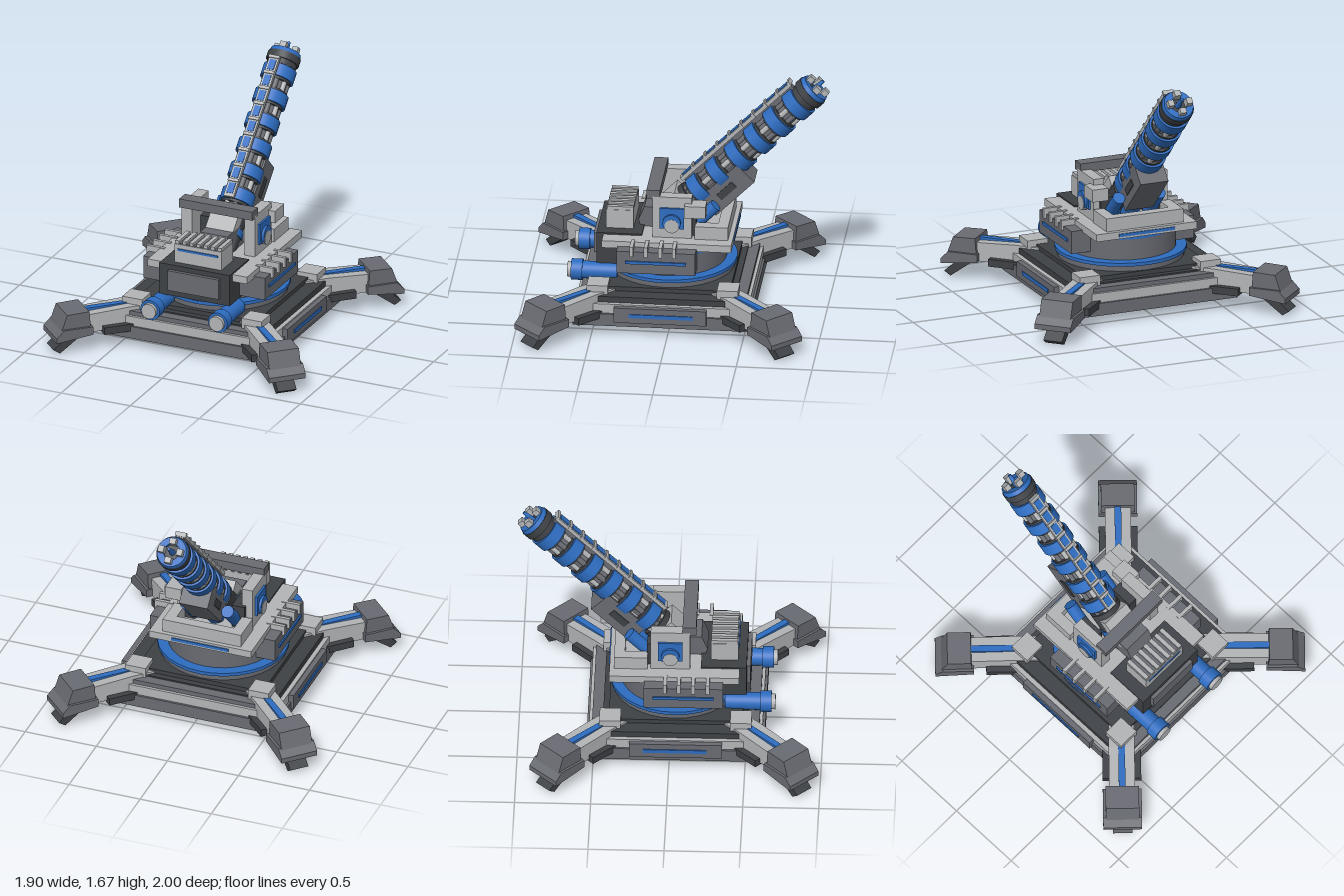
import * as THREE from 'three';

const mat = (color) => new THREE.MeshStandardMaterial({ color, flatShading: false });
const LIGHT = mat(0xb2b4b6), MID = mat(0x696b72), DARK = mat(0x3e4145), BLUE = mat(0x2d6cc0);

function add(parent, name, geometry, material) {
  const mesh = new THREE.Mesh(geometry, material);
  mesh.name = name;
  parent.add(mesh);
  return mesh;
}

// Box from its limits on each axis
function box(parent, name, material, [x0, x1], [y0, y1], [z0, z1]) {
  const mesh = add(parent, name, new THREE.BoxGeometry(x1 - x0, y1 - y0, z1 - z0), material);
  mesh.position.set((x0 + x1) / 2, (y0 + y1) / 2, (z0 + z1) / 2);
  return mesh;
}

// Upright cylinder between two heights
function drum(parent, name, material, r, y0, y1, x = 0, z = 0, rTop = r) {
  const mesh = add(parent, name, new THREE.CylinderGeometry(rTop, r, y1 - y0, 32), material);
  mesh.position.set(x, (y0 + y1) / 2, z);
  return mesh;
}

// Side profile in x and y, extruded symmetrically across z
function slab(parent, name, material, points, width) {
  const shape = new THREE.Shape(points.map(([x, y]) => new THREE.Vector2(x, y)));
  const geo = new THREE.ExtrudeGeometry(shape, { depth: width, bevelEnabled: false });
  return add(parent, name, geo.translate(0, 0, -width / 2), material);
}

function buildBase() {
  const base = new THREE.Group();
  base.name = 'base';
  base.position.z = 0.04;
  box(base, 'bottomPlate', MID, [-0.585, 0.585], [0.065, 0.15], [-0.585, 0.585]);
  box(base, 'underside', DARK, [-0.56, 0.56], [0.06, 0.07], [-0.56, 0.56]);
  box(base, 'baseFrame', LIGHT, [-0.57, 0.57], [0.14, 0.215], [-0.57, 0.57]);
  box(base, 'upperFrame', MID, [-0.5, 0.5], [0.2, 0.245], [-0.55, 0.55]);
  box(base, 'topPlate', DARK, [-0.54, 0.54], [0.21, 0.255], [-0.48, 0.48]);
  box(base, 'turretPad', DARK, [-0.44, 0.44], [0.25, 0.285], [-0.44, 0.44]);
  for (const s of [-1, 1]) {
    const x = (a, b) => (s > 0 ? [a, b] : [-b, -a]);
    box(base, 'sidePanel', MID, x(0.52, 0.605), [0.1, 0.205], [-0.3, 0.31]);
    box(base, 'sideStrip', BLUE, x(0.6, 0.612), [0.14, 0.165], [-0.21, 0.21]);
    for (const t of [-1, 1]) {
      const z = t > 0 ? [0.36, 0.5] : [-0.5, -0.36];
      box(base, 'cornerPad', LIGHT, x(0.36, 0.505), [0.24, 0.315], z);
    }
  }
  // Four diagonal outriggers, each built pointing along +x
  for (let i = 0; i < 4; i++) {
    const leg = new THREE.Group();
    leg.name = 'outrigger';
    leg.rotation.y = Math.PI / 4 + i * Math.PI / 2;
    base.add(leg);
    box(leg, 'legBracket', DARK, [0.64, 0.88], [0.115, 0.165], [-0.127, 0.127]);
    slab(leg, 'legBeam', LIGHT, [[0.5, 0.15], [0.72, 0.13], [1.02, 0.13], [1.02, 0.255], [0.7, 0.27], [0.5, 0.27]], 0.17);
    box(leg, 'legStrip', BLUE, [0.62, 0.98], [0.25, 0.277], [-0.022, 0.022]);
    slab(leg, 'footHousing', MID, [[0.97, 0.16], [1.18, 0.16], [1.135, 0.285], [0.98, 0.29]], 0.22);
    slab(leg, 'footPlate', MID, [[0.96, 0.13], [1.215, 0.1], [1.215, 0.135], [1.165, 0.185], [0.96, 0.185]], 0.255);
    slab(leg, 'groundSpade', DARK, [[0.97, 0.15], [1.02, 0.11], [1.17, 0], [1.215, 0.03], [1.09, 0.14]], 0.13);
  }
  return base;
}

function buildTurret() {
  const turret = new THREE.Group();
  turret.name = 'turret';
  drum(turret, 'ringSeat', MID, 0.42, 0.28, 0.325, 0, 0.03);
  drum(turret, 'ringStrip', BLUE, 0.435, 0.322, 0.345, 0, 0.03);
  drum(turret, 'turntable', MID, 0.365, 0.34, 0.53, 0, 0.03);
  drum(turret, 'upperRing', BLUE, 0.37, 0.487, 0.505, 0, 0.03);
  box(turret, 'deck', LIGHT, [-0.36, 0.36], [0.525, 0.575], [-0.4, 0.455]);
  box(turret, 'rearStrip', BLUE, [-0.2, 0.2], [0.54, 0.56], [-0.407, -0.39]);
  box(turret, 'rearWall', LIGHT, [-0.275, 0.275], [0.57, 0.665], [-0.37, -0.3]);

  // Front machinery box and vent housing
  box(turret, 'frontBox', DARK, [-0.255, 0.255], [0.365, 0.585], [0.2, 0.5]);
  box(turret, 'frontPanel', MID, [-0.185, 0.185], [0.41, 0.55], [0.49, 0.525]);
  box(turret, 'ventHousing', LIGHT, [-0.17, 0.17], [0.58, 0.715], [0.265, 0.445]);
  box(turret, 'ventStrip', BLUE, [-0.145, 0.145], [0.67, 0.685], [0.44, 0.451]);
  box(turret, 'ventBed', MID, [-0.165, 0.165], [0.71, 0.72], [0.27, 0.44]);
  for (let i = 0; i < 7; i++) {
    const x = -0.153 + i * 0.051;
    box(turret, 'ventFin', LIGHT, [x - 0.014, x + 0.014], [0.71, 0.738], [0.265, 0.44]);
  }

  for (const s of [-1, 1]) {
    const x = (a, b) => (s > 0 ? [a, b] : [-b, -a]);
    // Side pods with cooling fins
    box(turret, 'sidePod', MID, x(0.25, 0.44), [0.385, 0.54], [-0.17, 0.35]);
    box(turret, 'podStrip', BLUE, x(0.43, 0.45), [0.455, 0.475], [-0.11, 0.29]);
    for (const z of [-0.03, 0.06, 0.155, 0.25]) {
      box(turret, 'podFin', LIGHT, x(0.33, 0.457), [0.51, 0.58], [z - 0.012, z + 0.012]);
    }
    box(turret, 'rearRail', LIGHT, x(0.2, 0.275), [0.57, 0.665], [-0.36, -0.15]);
    // Front pressure tanks
    const tank = new THREE.Group();
    tank.name = 'tank';
    tank.position.set(s * 0.245, 0.31, 0);
    tank.rotation.x = Math.PI / 2;
    turret.add(tank);
    drum(tank, 'tankBody', BLUE, 0.058, 0.36, 0.62);
    drum(tank, 'tankCollar', BLUE, 0.07, 0.59, 0.665);
    drum(tank, 'tankCap', LIGHT, 0.052, 0.66, 0.69);
    // Cradle cheeks with trunnions
    box(turret, 'cradleCheek', LIGHT, x(0.19, 0.265), [0.57, 0.865], [-0.13, 0.13]);
    box(turret, 'cheekFoot', DARK, x(0.13, 0.22), [0.57, 0.74], [-0.155, 0.0]);
    box(turret, 'trunnionPlate', BLUE, x(0.26, 0.28), [0.645, 0.79], [-0.08, 0.08]);
    const pin = add(turret, 'trunnionPin', new THREE.CylinderGeometry(0.048, 0.048, 0.06, 24), LIGHT);
    pin.rotation.z = Math.PI / 2;
    pin.position.set(s * 0.27, 0.67, 0);
    const hub = add(turret, 'trunnionHub', new THREE.CylinderGeometry(0.06, 0.06, 0.035, 24), BLUE);
    hub.rotation.z = Math.PI / 2;
    hub.position.set(s * 0.28, 0.69, 0);
  }
  box(turret, 'crossBar', MID, [-0.265, 0.265], [0.85, 0.91], [0.08, 0.17]);
  box(turret, 'sightBox', LIGHT, [0.2, 0.312], [0.74, 0.825], [-0.225, -0.085]);
  const support = slab(turret, 'breechSupport', MID, [[-0.22, 0.57], [0.05, 0.57], [0.05, 0.715], [-0.2, 0.715], [-0.24, 0.62]], 0.2);
  support.rotation.y = Math.PI / 2;
  return turret;
}

// Barrel built along +y, with +z its upper side, then tilted back
function buildBarrel() {
  const gun = new THREE.Group();
  gun.name = 'barrel';
  gun.position.y = 0.66;
  gun.rotation.x = -Math.PI / 4;
  drum(gun, 'breech', DARK, 0.105, -0.2, 0.16);
  drum(gun, 'breechRing', BLUE, 0.112, -0.03, 0.02);
  box(gun, 'breechCover', LIGHT, [-0.1, 0.1], [-0.1, 0.12], [0.05, 0.12]);
  drum(gun, 'core', MID, 0.078, 0.1, 1.24);
  for (let i = 0; i < 8; i++) {
    const a = (i + 0.5) * Math.PI / 4;
    drum(gun, 'barrelRod', i % 2 ? LIGHT : MID, 0.018, 0.16, 1.2, Math.sin(a) * 0.077, Math.cos(a) * 0.077);
  }
  for (let i = 0; i < 6; i++) {
    const s = 0.24 + i * 0.18;
    drum(gun, 'coilBand', BLUE, 0.113, s - 0.042, s + 0.042);
    drum(gun, 'coilCollar', DARK, 0.098, s - 0.058, s + 0.058);
  }
  // Rail with blue windows along the upper side
  box(gun, 'rail', LIGHT, [-0.036, 0.036], [0.19, 1.205], [0.125, 0.15]);
  box(gun, 'railWeb', MID, [-0.02, 0.02], [0.2, 1.2], [0.07, 0.13]);
  for (let i = 0; i < 9; i++) {
    const s = 0.25 + i * 0.112;
    box(gun, 'railWindow', BLUE, [-0.023, 0.023], [s - 0.036, s + 0.036], [0.14, 0.154]);
    box(gun, 'railRib', LIGHT, [-0.038, 0.038], [s + 0.046, s + 0.066], [0.13, 0.16]);
  }
  // Muzzle: ring with an open bore and small prongs
  drum(gun, 'muzzleBase', DARK, 0.1, 1.19, 1.25);
  const ring = [[0.05, 1.24], [0.108, 1.24], [0.108, 1.275], [0.1, 1.305], [0.055, 1.305], [0.05, 1.24]];
  const flare = new THREE.LatheGeometry(ring.map(([r, y]) => new THREE.Vector2(r, y)), 32);
  add(gun, 'muzzleRing', flare.toNonIndexed(), BLUE).geometry.computeVertexNormals();
  drum(gun, 'muzzleBand', DARK, 0.112, 1.225, 1.275);
  drum(gun, 'bore', DARK, 0.055, 1.24, 1.285);
  for (let i = 0; i < 4; i++) {
    const prong = new THREE.Group();
    prong.name = 'muzzleProng';
    prong.rotation.y = i * Math.PI / 2;
    gun.add(prong);
    box(prong, 'prongBlock', LIGHT, [-0.022, 0.022], [1.29, 1.345], [0.045, 0.085]);
  }
  drum(gun, 'emitter', BLUE, 0.022, 1.27, 1.375, 0, 0, 0.01);
  // Housing and recoil cylinders on the lower side
  box(gun, 'lowerHousing', MID, [-0.1, 0.1], [0.2, 0.56], [-0.185, -0.02]);
  for (const s of [-1, 1]) {
    box(gun, 'housingInset', DARK, [s * 0.1 - 0.005, s * 0.1 + 0.005], [0.31, 0.45], [-0.13, -0.08]);
    drum(gun, 'recoilCylinder', BLUE, 0.042, 0.02, 0.27, s * 0.145, -0.12);
  }
  drum(gun, 'elevationCylinder', BLUE, 0.055, 0.02, 0.21, 0, -0.12);
  return gun;
}

export function createModel() {
  const model = new THREE.Group();
  model.name = 'turretEmplacement';
  model.add(buildBase(), buildTurret(), buildBarrel());
  return model;
}
